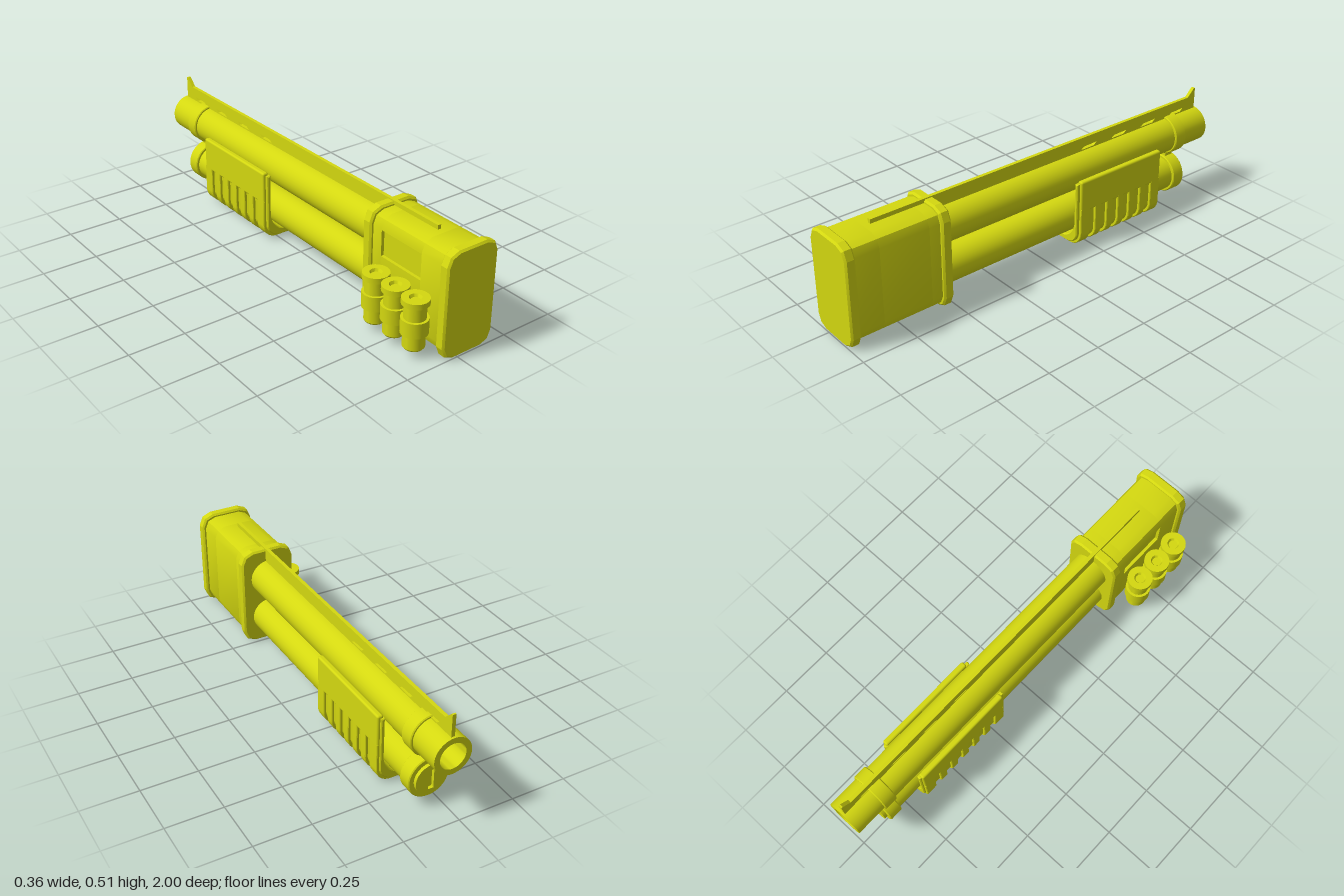
import * as THREE from 'three';
import { toCreasedNormals } from 'three/addons/utils/BufferGeometryUtils.js';
import { RoundedBoxGeometry } from 'three/addons/geometries/RoundedBoxGeometry.js';

const material = new THREE.MeshStandardMaterial({ color: 0xd4d810 });

function add(parent, name, geometry) {
  const mesh = new THREE.Mesh(geometry, material);
  mesh.name = name;
  parent.add(mesh);
  return mesh;
}

// Extrude an x-y shape from z0 to z1, with an optional bevel kept inside the outline
function extrude(shape, z0, z1, bevel = 0, crease = 0.5) {
  const g = new THREE.ExtrudeGeometry(shape, {
    depth: z1 - z0 - 2 * bevel, bevelEnabled: bevel > 0, bevelSize: bevel,
    bevelThickness: bevel, bevelOffset: -bevel, bevelSegments: 1, curveSegments: 12,
  });
  return toCreasedNormals(g.translate(0, 0, z0 + bevel), crease);
}

// Turn a [radius, height] profile; heights run along +y
function turn(profile, segments = 40) {
  const pts = profile.map(([r, h]) => new THREE.Vector2(r, h));
  return toCreasedNormals(new THREE.LatheGeometry(pts, segments), 0.6);
}
const turnAlongZ = (profile, y) => turn(profile).rotateX(Math.PI / 2).translate(0, y, 0);

const polygon = (pts) => new THREE.Shape(pts.map(([x, y]) => new THREE.Vector2(x, y)));

// Upright rectangle with two-segment corners; notch cuts a recess in its -x side
function receiverShape(half, y0, y1, r, notch) {
  const pts = [];
  const corners = [[half - r, y0 + r, -90], [half - r, y1 - r, 0], [-half + r, y1 - r, 90], [-half + r, y0 + r, 180]];
  corners.forEach(([cx, cy, start], k) => {
    for (let i = 0; i <= 2; i++) {
      const a = THREE.MathUtils.degToRad(start + i * 45);
      pts.push([cx + r * Math.cos(a), cy + r * Math.sin(a)]);
    }
    if (k === 2 && notch) {
      const [lo, hi, depth] = notch;
      pts.push([-half, hi], [-half + depth, hi], [-half + depth, lo], [-half, lo]);
    }
  });
  return polygon(pts);
}

const TUBE_Y = 0.13, BARREL_Y = 0.33;

// U section of the sliding grip, wrapped around the lower tube
function gripShape(half, bottom, top, inner, r) {
  const s = new THREE.Shape();
  s.moveTo(-half, top);
  s.lineTo(-half, bottom + r);
  s.absarc(-half + r, bottom + r, r, Math.PI, 1.5 * Math.PI, false);
  s.absarc(half - r, bottom + r, r, 1.5 * Math.PI, 2 * Math.PI, false);
  s.lineTo(half, top);
  s.lineTo(inner, top);
  s.lineTo(inner, TUBE_Y);
  s.absarc(0, TUBE_Y, inner, 0, -Math.PI, true);
  s.lineTo(-inner, top);
  return s;
}

function buildReceiver(parent) {
  const g = new THREE.Group();
  g.name = 'receiver';
  parent.add(g);
  const dims = [0.112, 0.018, 0.456, 0.05];
  const plain = receiverShape(...dims);
  const notched = receiverShape(...dims, [0.285, 0.4, 0.014]);
  add(g, 'receiverFront', extrude(plain, 0.53, 0.61));
  add(g, 'receiverWithPort', extrude(notched, 0.61, 0.84));
  add(g, 'receiverRear', extrude(plain, 0.84, 0.98));
  const flange = receiverShape(0.127, 0.003, 0.47, 0.057);
  add(g, 'frontFlange', extrude(flange, 0.513, 0.56, 0.008, 0.3));
  add(g, 'rearFlange', extrude(flange, 0.953, 1, 0.008, 0.3));
}

function buildBarrels(parent) {
  const g = new THREE.Group();
  g.name = 'barrels';
  parent.add(g);
  add(g, 'barrel', turnAlongZ([[0, -0.6], [0.058, -0.6], [0.058, -1], [0.083, -1], [0.083, 0.53]], BARREL_Y));
  add(g, 'magazineTube', turnAlongZ([[0.08, -0.8], [0.08, 0.53]], TUBE_Y));
  // Clamp rings and the link between them
  const ring = [[0, -0.857], [0.089, -0.857], [0.093, -0.853], [0.093, -0.797], [0.089, -0.793], [0.07, -0.793]];
  add(g, 'barrelRing', turnAlongZ([[0.08, -0.857], ...ring.slice(1)], BARREL_Y));
  add(g, 'tubeCap', turnAlongZ(ring, TUBE_Y));
  add(g, 'clampLink', new THREE.BoxGeometry(0.04, 0.08, 0.042).translate(0, 0.232, -0.825));
  // End disc with a vertical slot
  const disc = new THREE.Shape().absarc(0, TUBE_Y, 0.07, 0, 2 * Math.PI, false);
  const w = 0.012, h = 0.045;
  disc.holes.push(polygon([[-w, TUBE_Y - h], [-w, TUBE_Y + h], [w, TUBE_Y + h], [w, TUBE_Y - h]]));
  add(g, 'slottedEnd', extrude(disc, -0.872, -0.85));
}

function buildGrip(parent) {
  const g = new THREE.Group();
  g.name = 'slidingGrip';
  parent.add(g);
  add(g, 'gripCore', extrude(gripShape(0.107, 0.018, 0.32, 0.09, 0.06), -0.675, -0.168, 0.004));
  // Smooth upper side panels
  for (const side of [-1, 1]) {
    add(g, 'sidePanel', new RoundedBoxGeometry(0.028, 0.15, 0.482, 2, 0.009).translate(side * 0.105, 0.257, -0.425));
  }
  // Wrap-around ribs separated by six grooves
  const rib = gripShape(0.119, 0.005, 0.195, 0.098, 0.07);
  let z1 = -0.184;
  for (let i = 0; i <= 6; i++) {
    const z0 = i < 6 ? -0.237 - i * 0.0685 : -0.666;
    add(g, 'gripRib', extrude(rib, z0, z1, 0.003));
    z1 = z0 - 0.032;
  }
}

// Long top rail with slanted slots and a raised sight at the muzzle
function buildRail(parent) {
  const rail = polygon([[-0.81, 0.4], [0.99, 0.4], [0.99, 0.512], [0.982, 0.512], [0.945, 0.475], [-0.81, 0.475]]);
  for (let i = 0; i < 4; i++) {
    const s = 0.275 + i * 0.182;
    rail.holes.push(polygon([[s, 0.418], [s + 0.075, 0.418], [s + 0.092, 0.432], [s + 0.017, 0.43]]));
  }
  add(parent, 'sightRail', extrude(rail, -0.008, 0.008).rotateY(Math.PI / 2));
}

// Spare shells in a side holder
function buildShells(parent) {
  const shell = turn([
    [0, 0.038], [0.04, 0.038], [0.045, 0.045], [0.045, 0.105], [0.056, 0.105], [0.056, 0.171], [0.045, 0.171],
    [0.045, 0.233], [0.056, 0.233], [0.056, 0.257], [0.026, 0.257], [0.02, 0.245], [0, 0.245],
  ], 32);
  for (const z of [0.655, 0.77, 0.885]) add(parent, 'spareShell', shell).position.set(-0.172, 0, z);
}

export function createModel() {
  const model = new THREE.Group();
  model.name = 'pumpGun';
  const gun = new THREE.Group();
  gun.name = 'gun';
  gun.position.x = 0.05;
  model.add(gun);
  buildReceiver(gun);
  buildBarrels(gun);
  buildGrip(gun);
  buildRail(gun);
  buildShells(gun);
  return model;
}
